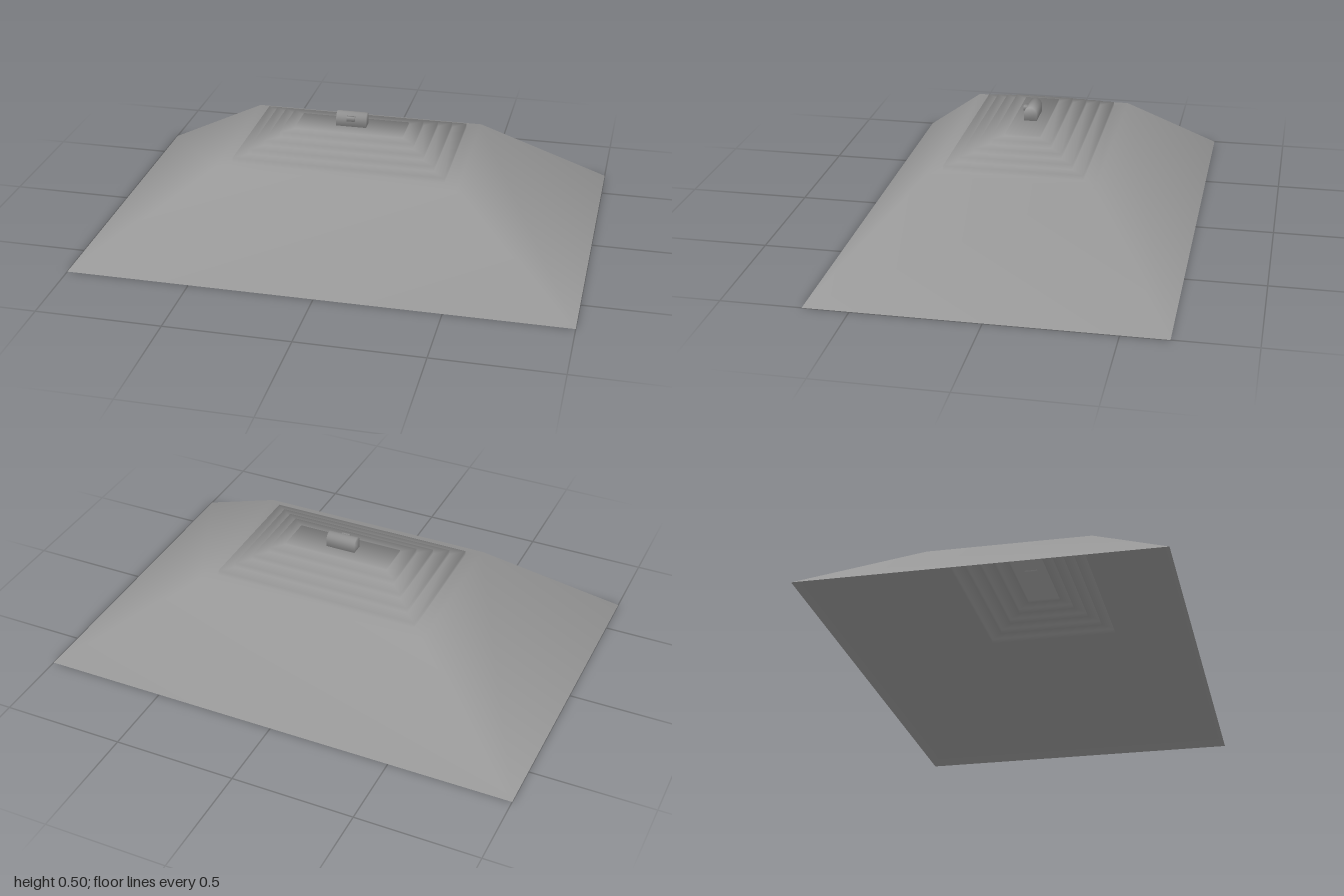
import * as THREE from 'three';
import { mergeVertices } from 'three/addons/utils/BufferGeometryUtils.js';

const material = new THREE.MeshStandardMaterial({ color: 0x999999, side: THREE.DoubleSide });

function addMesh(parent, name, geometry) {
  const mesh = new THREE.Mesh(smooth(geometry), material);
  mesh.name = name;
  parent.add(mesh);
  return mesh;
}

// Welds the corners and gives each the angle-weighted average of its face normals
function smooth(source) {
  source.deleteAttribute('normal');
  source.deleteAttribute('uv');
  const geometry = mergeVertices(source, 1e-4);
  const position = geometry.attributes.position;
  const index = geometry.index.array;
  const sums = Array.from({ length: position.count }, () => new THREE.Vector3());
  for (let f = 0; f < index.length; f += 3) {
    const ids = [index[f], index[f + 1], index[f + 2]];
    const p = ids.map((id) => new THREE.Vector3().fromBufferAttribute(position, id));
    const normal = new THREE.Triangle(...p).getNormal(new THREE.Vector3());
    ids.forEach((id, i) => {
      const toNext = p[(i + 1) % 3].clone().sub(p[i]);
      const toLast = p[(i + 2) % 3].clone().sub(p[i]);
      sums[id].addScaledVector(normal, toNext.angleTo(toLast));
    });
  }
  const normals = sums.flatMap((n) => n.normalize().toArray());
  geometry.setAttribute('normal', new THREE.Float32BufferAttribute(normals, 3));
  return geometry;
}

// Shell through rectangular rings [halfX, halfZ, y], closed at the top, open below
function rectangularShell(rings) {
  const positions = [];
  const index = [];
  for (const [x, z, y] of rings) positions.push(-x, y, z, x, y, z, x, y, -z, -x, y, -z);
  for (let r = 0; r < rings.length - 1; r++) {
    for (let i = 0; i < 4; i++) {
      const a = r * 4 + i;
      const b = r * 4 + (i + 1) % 4;
      index.push(a, b, b + 4, a, b + 4, a + 4);
    }
  }
  const t = (rings.length - 1) * 4;
  index.push(t, t + 1, t + 2, t, t + 2, t + 3);
  const geometry = new THREE.BufferGeometry();
  geometry.setAttribute('position', new THREE.Float32BufferAttribute(positions, 3));
  geometry.setIndex(index);
  return geometry;
}

export function createModel() {
  const model = new THREE.Group();
  model.name = 'terracedMound';

  // Sloping mound with a flat rim and five shrinking steps
  const rings = [[1, 0.682, 0], [0.485, 0.33, 0.349]];
  const stepTops = [0.37, 0.391, 0.411, 0.432, 0.442];
  let y = 0.349;
  stepTops.forEach((top, i) => {
    const x = 0.43 - i * 0.052;
    const z = 0.276 - i * 0.0515;
    rings.push([x, z, y], [x, z, top]);
    y = top;
  });
  addMesh(model, 'steppedMound', rectangularShell(rings));

  // Small chest with a barrel lid, set slightly into the top step
  const chest = new THREE.Group();
  chest.name = 'chest';
  model.add(chest);
  const profile = new THREE.Shape();
  profile.moveTo(-0.026, 0.434);
  profile.lineTo(0.026, 0.434);
  profile.lineTo(0.026, 0.472);
  profile.absarc(0, 0.472, 0.026, 0, Math.PI, false);
  profile.closePath();
  const body = new THREE.ExtrudeGeometry(profile, { depth: 0.124, bevelEnabled: false, curveSegments: 8 });
  body.translate(0, 0, -0.062);
  body.rotateY(Math.PI / 2);
  addMesh(chest, 'chestBody', body);

  // Latch on the front of the chest
  const latch = addMesh(chest, 'latch', new THREE.BoxGeometry(0.034, 0.019, 0.014));
  latch.position.set(0, 0.478, 0.029);

  return model;
}
